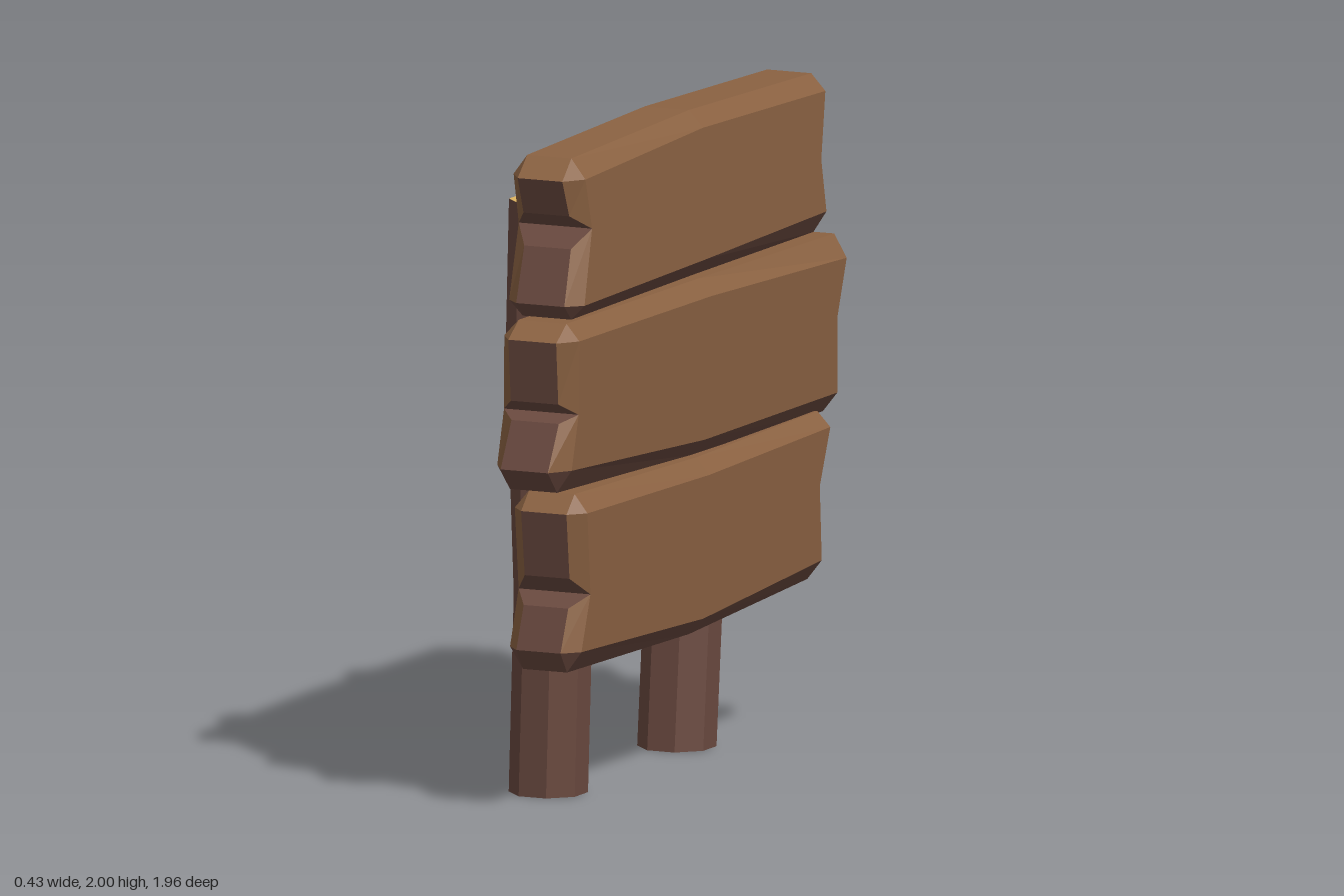
import * as THREE from 'three';

const wood = new THREE.MeshStandardMaterial({ color: 0x8b6242 });
wood.name = 'plank wood';
const bark = new THREE.MeshStandardMaterial({ color: 0x6b4a40 });
bark.name = 'dark bark';
const cut = new THREE.MeshStandardMaterial({ color: 0xe0b460 });
cut.name = 'cut wood';

// Each end runs from top to bottom as [z, y]: top, upper panel (2), notch, lower panel (2), bottom.
// Middle is [top y, bottom y]; x gives [back, front] at the top and at the bottom edge.
const PLANKS = [
  {
    name: 'topPlank', middle: [2.0, 1.505], x: [[-0.05, 0.185], [-0.05, 0.2]],
    left: [[0.8, 1.98], [0.865, 1.92], [0.825, 1.81], [0.765, 1.767], [0.82, 1.71], [0.875, 1.545], [0.83, 1.5]],
    right: [[-0.83, 1.98], [-0.88, 1.93], [-0.845, 1.77], [-0.79, 1.73], [-0.85, 1.69], [-0.88, 1.57], [-0.815, 1.505]],
  },
  {
    name: 'middlePlank', middle: [1.495, 0.96], x: [[-0.03, 0.218], [-0.055, 0.19]],
    left: [[0.9, 1.5], [0.965, 1.45], [0.93, 1.26], [0.88, 1.225], [0.92, 1.2], [0.98, 1.06], [0.91, 0.99]],
    right: [[-0.92, 1.485], [-0.975, 1.415], [-0.93, 1.28], [-0.875, 1.24], [-0.93, 1.2], [-0.965, 1.01], [-0.9, 0.95]],
  },
  {
    name: 'bottomPlank', middle: [0.955, 0.42], x: [[-0.03, 0.21], [-0.05, 0.185]],
    left: [[0.83, 0.975], [0.88, 0.92], [0.84, 0.72], [0.785, 0.668], [0.84, 0.63], [0.88, 0.5], [0.83, 0.435]],
    right: [[-0.82, 0.965], [-0.87, 0.92], [-0.83, 0.79], [-0.765, 0.75], [-0.82, 0.71], [-0.87, 0.52], [-0.8, 0.46]],
  },
];

// Bevelled plank with notched ends, made of four outline loops stacked along x
function makePlank({ name, middle, x, left, right }) {
  const bevel = 0.045;
  const [topY, bottomY] = middle;
  const outer = [...left, [0, bottomY], ...[...right].reverse(), [0, topY]];
  const insetEnd = (e) => {
    const top = [e[0][0], e[1][1]];
    const bottom = [e[6][0], e[5][1]];
    return [top, top, e[3], e[3], e[3], bottom, bottom];
  };
  const inset = [...insetEnd(left), [0, bottomY + 0.05], ...insetEnd(right).reverse(), [0, topY - 0.05]];

  const place = ([z, y], side, depth) => {
    const t = (topY - y) / (topY - bottomY);
    const face = THREE.MathUtils.lerp(x[0][side], x[1][side], t);
    return new THREE.Vector3(face + (side ? -depth : depth), y, z);
  };
  // The notch edge keeps the full thickness
  const outerLoop = (side) => outer.map((p, i) => place(p, side, i === 3 || i === 11 ? 0 : bevel));
  const insetLoop = (side) => inset.map((p) => place(p, side, 0));
  const loops = [insetLoop(1), outerLoop(1), outerLoop(0), insetLoop(0)];

  const faces = [[], []]; // wood, bark
  const triangle = (list, a, b, c) => {
    const area = b.clone().sub(a).cross(c.clone().sub(a)).length();
    if (area > 1e-7) list.push(a, b, c);
  };

  const n = outer.length;
  for (let i = 0; i < n; i++) {
    const j = (i + 1) % n;
    const underside = i >= 5 && i <= 8;
    const end = (i >= 1 && i <= 4) || (i >= 9 && i <= 12);
    for (let k = 0; k < 3; k++) {
      const list = faces[underside || (end && k === 1) ? 1 : 0];
      const a = loops[k];
      const b = loops[k + 1];
      triangle(list, a[i], b[i], b[j]);
      triangle(list, a[i], b[j], a[j]);
    }
    // Broad front and back faces
    const centre = [0, (topY + bottomY) / 2];
    triangle(faces[0], place(centre, 1, 0), loops[0][i], loops[0][j]);
    triangle(faces[0], place(centre, 0, 0), loops[3][j], loops[3][i]);
  }

  const geometry = new THREE.BufferGeometry().setFromPoints([...faces[0], ...faces[1]]);
  geometry.addGroup(0, faces[0].length, 0);
  geometry.addGroup(faces[0].length, faces[1].length, 1);
  geometry.computeVertexNormals();
  const mesh = new THREE.Mesh(geometry, [wood, bark]);
  mesh.name = name;
  return mesh;
}

// Slightly crooked eight-sided post; path holds [x, y, z] centres from the ground up
function makePost(name, path) {
  let geometry = new THREE.CylinderGeometry(0.118, 0.118, 3, 8, 3);
  geometry.rotateY(Math.PI / 8);
  const pos = geometry.attributes.position;
  for (let i = 0; i < pos.count; i++) {
    const [x, y, z] = path[Math.round(pos.getY(i) + 1.5)];
    pos.setXYZ(i, pos.getX(i) + x, y, pos.getZ(i) + z);
  }
  geometry = geometry.toNonIndexed();
  geometry.computeVertexNormals();
  const mesh = new THREE.Mesh(geometry, [bark, cut, bark]);
  mesh.name = name;
  return mesh;
}

export function createModel() {
  const model = new THREE.Group();
  model.name = 'woodenSign';
  for (const plank of PLANKS) model.add(makePlank(plank));
  model.add(makePost('frontPost', [[-0.098, 0, 0.465], [-0.075, 0.6, 0.478], [-0.11, 1.35, 0.46], [-0.102, 1.785, 0.455]]));
  model.add(makePost('backPost', [[-0.1, 0, -0.412], [-0.095, 0.6, -0.46], [-0.105, 1.35, -0.395], [-0.1, 1.785, -0.412]]));
  return model;
}
